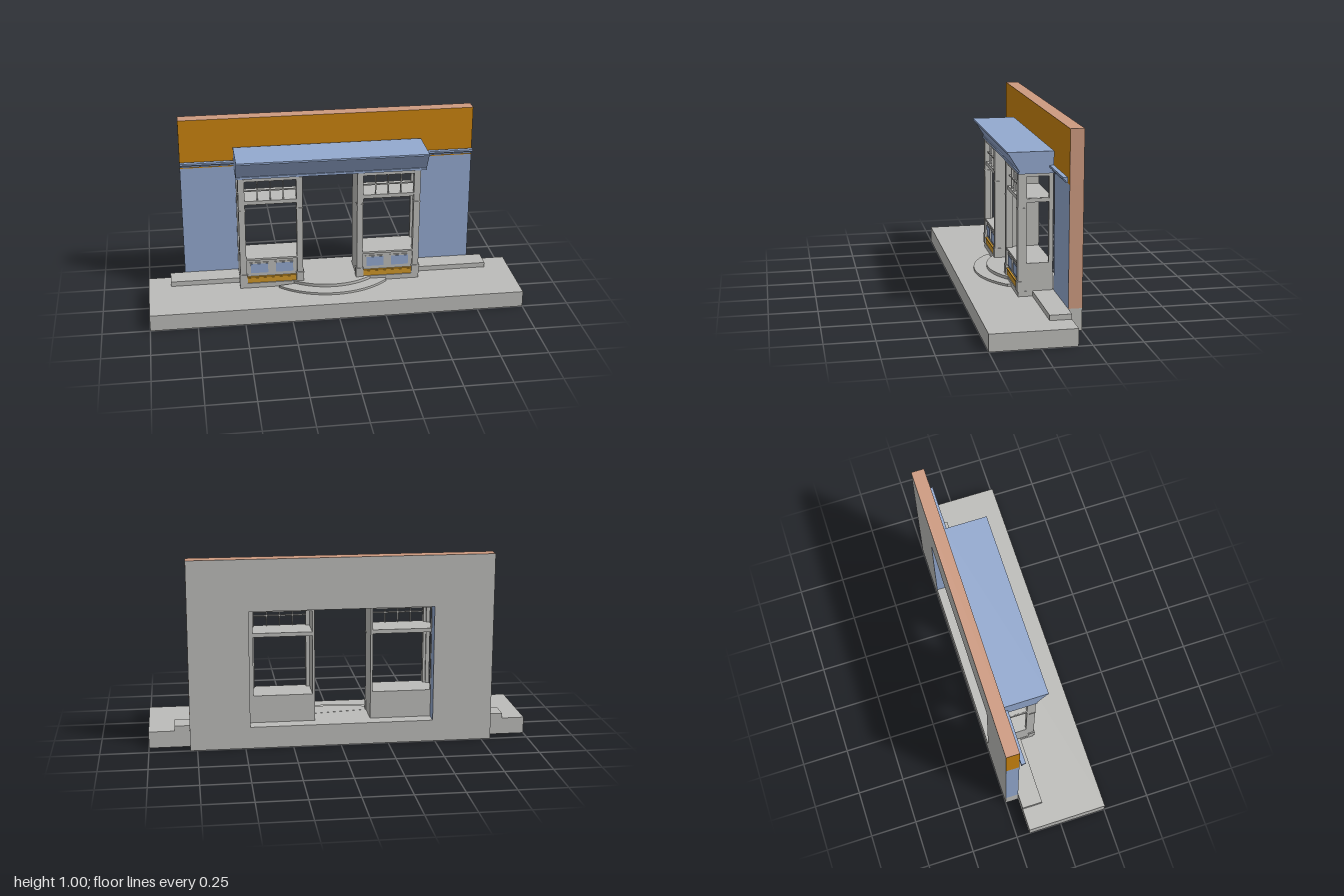
import * as THREE from 'three';

const mat = (name, color) => {
  const m = new THREE.MeshStandardMaterial({ color });
  m.name = name;
  return m;
};

export function createModel() {
  const root = new THREE.Group();
  root.name = 'shopfront';
  const stone = mat('stone grey', 0xbcbcb9);
  const blue = mat('soft blue', 0x93a9cf);
  const orange = mat('orange', 0xca830f);
  const gold = mat('gold', 0xd0982a);
  const terracotta = mat('terracotta', 0xcd9a80);

  // Box between two corners
  const box = (parent, name, m, x0, x1, y0, y1, z0, z1) => {
    const g = new THREE.BoxGeometry(Math.abs(x1 - x0), y1 - y0, z1 - z0);
    g.translate((x0 + x1) / 2, (y0 + y1) / 2, (z0 + z1) / 2);
    const mesh = new THREE.Mesh(g, m);
    mesh.name = name;
    parent.add(mesh);
    return mesh;
  };

  // Profile of [z, y] points, listed counter-clockwise seen from +x, swept along x
  const sweep = (parent, name, m, points, x0, x1) => {
    const shape = new THREE.Shape(points.map(([z, y]) => new THREE.Vector2(-z, y)));
    const g = new THREE.ExtrudeGeometry(shape, { depth: x1 - x0, bevelEnabled: false });
    g.rotateY(Math.PI / 2).translate(x0, 0, 0);
    const mesh = new THREE.Mesh(g, m);
    mesh.name = name;
    parent.add(mesh);
  };

  // Pavement and low plinth
  box(root, 'pavement', stone, -1, 1, 0, 0.088, -0.18, 0.25);
  box(root, 'plinthSlab', stone, -0.88, 0.865, 0.088, 0.115, -0.18, -0.07);
  box(root, 'bayPlinth', stone, -0.508, 0.472, 0.088, 0.115, -0.07, 0.004);

  // Curved entrance steps
  const step = (name, radius, half, y0, y1) => {
    const a = Math.asin(half / radius);
    const shape = new THREE.Shape();
    shape.moveTo(-half, 0.07);
    shape.absarc(0, 0.27, radius, -Math.PI / 2 - a, -Math.PI / 2 + a, false);
    shape.lineTo(half, 0.07);
    const g = new THREE.ExtrudeGeometry(shape, { depth: y1 - y0, bevelEnabled: false, curveSegments: 32 });
    g.rotateX(-Math.PI / 2).translate(-0.006, y0, 0);
    const mesh = new THREE.Mesh(g, stone);
    mesh.name = name;
    root.add(mesh);
  };
  step('lowerStep', 0.415, 0.295, 0.088, 0.1);
  step('upperStep', 0.345, 0.23, 0.1, 0.116);

  // Wall around the wide opening; materials ordered +x, -x, top, bottom, front, back
  const wall = new THREE.Group();
  wall.name = 'wall';
  root.add(wall);
  const L = -0.8, R = 0.787, zb = -0.25, zf = -0.18;
  box(wall, 'wallFooting', [stone, stone, stone, blue, blue, stone], L, R, 0, 0.115, zb, zf);
  box(wall, 'wallPierRight', [blue, blue, blue, blue, blue, stone], L, -0.487, 0.115, 0.73, zb, zf);
  box(wall, 'wallPierLeft', [terracotta, blue, blue, blue, blue, stone], 0.474, R, 0.115, 0.73, zb, zf);
  box(wall, 'wallHeader', [terracotta, orange, terracotta, blue, orange, stone], L, R, 0.73, 1, zb, zf);

  // Moulding along the wall
  sweep(root, 'wallMoulding', blue, [
    [-0.17, 0.742], [-0.17, 0.768], [-0.147, 0.768], [-0.147, 0.758],
    [-0.153, 0.757], [-0.16, 0.75], [-0.16, 0.742],
  ], L, R);

  // Canopy with sloping front
  sweep(root, 'canopy', blue, [
    [-0.17, 0.728], [-0.17, 0.84], [0.066, 0.84], [0.066, 0.83],
    [0.06, 0.83], [0.004, 0.74], [0.01, 0.74], [0.01, 0.728],
  ], -0.515, 0.502);

  // Display window bays; u runs from the doorway outwards
  const cx = -0.018, zBack = -0.175, zFront = 0.005;
  for (const s of [-1, 1]) {
    const bay = new THREE.Group();
    bay.name = s > 0 ? 'leftWindowBay' : 'rightWindowBay';
    root.add(bay);
    const b = (name, m, u0, u1, y0, y1, z0, z1) =>
      box(bay, name, m, cx + s * u0, cx + s * u1, y0, y1, z0, z1);
    const inA = 0.147, inB = 0.179, outA = 0.454, outB = 0.488;

    // Base cabinet with gold kick strip and panels
    b('stallRiser', stone, inA, outB, 0.115, 0.25, zBack, -0.006);
    b('displayShelf', stone, inA, outB, 0.25, 0.261, zBack, 0.002);
    b('kickStrip', gold, inB, outA, 0.117, 0.145, -0.006, 0.002);
    b('kickMoulding', gold, inB, outA, 0.147, 0.153, -0.006, 0.004);
    for (const u of [0.248, 0.384]) {
      b('panelFrame', stone, u - 0.054, u + 0.054, 0.166, 0.236, -0.006, -0.002);
      b('bluePanel', blue, u - 0.047, u + 0.047, 0.174, 0.228, -0.006, 0);
    }

    // Corner posts with plinth blocks and collars
    for (const [a, c] of [[inA, inB], [outA, outB]]) {
      b('cornerPost', stone, a, c, 0.115, 0.725, -0.03, zFront);
      b('postPlinth', stone, a - 0.004, c + 0.004, 0.115, 0.163, -0.027, 0.009);
      b('postPlinthCap', stone, a - 0.006, c + 0.006, 0.163, 0.168, -0.028, 0.01);
      b('postCollar', stone, a - 0.003, c + 0.003, 0.543, 0.548, -0.03, 0.008);
    }

    // Solid doorway side, open framed outer side
    b('doorwaySide', stone, inA, inA + 0.012, 0.25, 0.725, zBack, -0.02);
    b('sideFrontStile', stone, outB - 0.02, outB, 0.25, 0.725, -0.04, -0.02);
    b('sideBackStile', stone, outB - 0.02, outB, 0.25, 0.725, zBack, -0.154);
    b('sideTransom', stone, outB - 0.02, outB, 0.576, 0.595, zBack, -0.03);
    b('sideTopRail', stone, outB - 0.02, outB, 0.708, 0.725, zBack, -0.03);

    // Transom shelf, top and small window lights
    b('transomShelf', stone, inA + 0.006, outB - 0.004, 0.576, 0.597, zBack, -0.002);
    b('bayTop', stone, inA + 0.006, outB - 0.004, 0.708, 0.725, zBack, -0.002);
    for (let i = 1; i < 4; i++) {
      const u = inB + (i * (outA - inB)) / 4;
      b('verticalGlazingBar', stone, u - 0.003, u + 0.003, 0.597, 0.708, -0.018, -0.008);
    }
    b('horizontalGlazingBar', stone, inB, outA, 0.649, 0.655, -0.018, -0.009);
  }
  return root;
}
